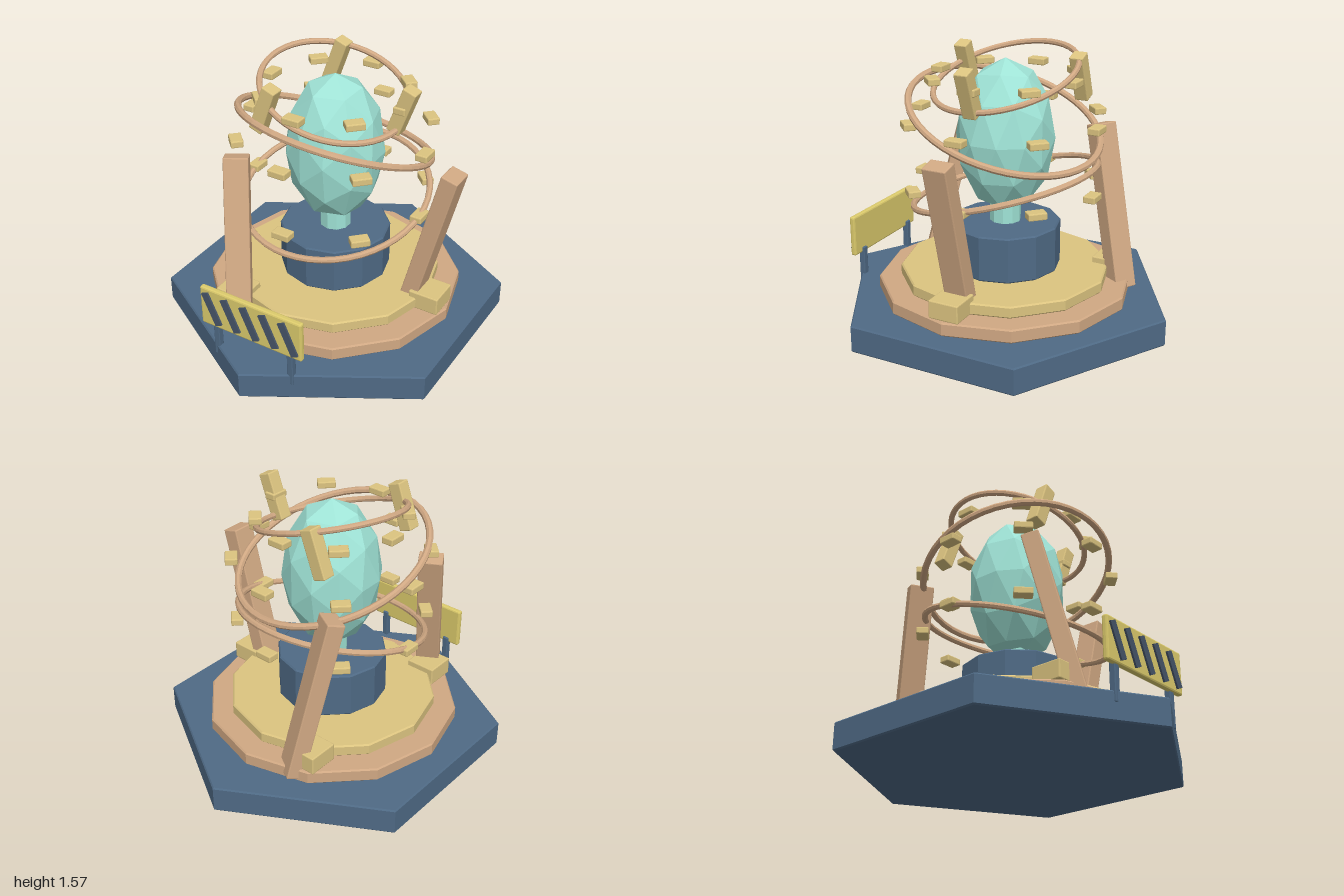
import * as THREE from 'three';
import { RoundedBoxGeometry } from 'three/addons/geometries/RoundedBoxGeometry.js';

const mat = (color) => {
  const m = new THREE.MeshStandardMaterial({ color, flatShading: true });
  return m;
};

export function createModel() {
  const model = new THREE.Group();
  const steel = mat(0x4f6a85), copper = mat(0xd0a883), brass = mat(0xdcc480);
  const crystalMat = mat(0x9fe3d6), signYellow = mat(0xdccb6c), dark = mat(0x465468);

  function add(name, geometry, material, x, y, z, parent = model) {
    const mesh = new THREE.Mesh(geometry, material);
    mesh.name = name;
    mesh.position.set(x, y, z);
    parent.add(mesh);
    return mesh;
  }
  const box = (w, h, d, r = 0.006) => new RoundedBoxGeometry(w, h, d, 1, r);

  // Polygonal disc with a small chamfer
  function disc(name, sides, r, y0, y1, material, c = 0.008) {
    const profile = [[0, y0], [r - c, y0], [r, y0 + c], [r, y1 - c], [r - c, y1], [0, y1]]
      .map(([x, y]) => new THREE.Vector2(x, y));
    add(name, new THREE.LatheGeometry(profile, sides), material, 0, 0, 0);
  }

  // Stepped base
  disc('hexagonBase', 6, 1, 0, 0.16, steel);
  disc('copperStep', 12, 0.74, 0.16, 0.24, copper);
  disc('brassStep', 12, 0.61, 0.24, 0.31, brass);
  disc('pedestal', 12, 0.32, 0.31, 0.58, steel);

  // Faceted crystal on its neck
  add('crystalNeck', new THREE.CylinderGeometry(0.09, 0.09, 0.16, 10), crystalMat, 0, 0.65, 0);
  const crystal = new THREE.IcosahedronGeometry(1, 1);
  crystal.rotateY(0.3);
  crystal.scale(0.285, 0.445, 0.285);
  add('crystal', crystal, crystalMat, 0, 1.085, 0);

  // Tilted coil rings, each with a level circle of eight blocks
  const rings = [
    { name: 'lowerRing', y: 0.8, r: 0.54, tube: 0.018, normal: [0, 1, 0.265] },
    { name: 'middleRing', y: 1.19, r: 0.555, tube: 0.02, normal: [0.12, 1, -0.36] },
    { name: 'upperRing', y: 1.43, r: 0.415, tube: 0.017, normal: [0.3, 1, 0.12] },
  ];
  const forward = new THREE.Vector3(0, 0, 1);
  for (const { name, y, r, tube, normal } of rings) {
    const ring = add(name, new THREE.TorusGeometry(r, tube, 8, 48), copper, 0, y, 0);
    ring.quaternion.setFromUnitVectors(forward, new THREE.Vector3(...normal).normalize());
    for (let i = 0; i < 8; i++) {
      const a = i * Math.PI / 4;
      const block = add(name + 'Block', box(0.07, 0.04, 0.105), brass, r * Math.cos(a), y, r * Math.sin(a));
      block.rotation.y = -a;
    }
  }

  // Three leaning pillars with feet, and three slanted plates above
  for (let i = 0; i < 3; i++) {
    const a = i * Math.PI * 2 / 3, c = Math.cos(a), s = Math.sin(a);
    const pillar = add('pillar', box(0.1, 0.97, 0.14), copper, 0.615 * c, 0.65, 0.615 * s);
    pillar.rotation.set(0, a, -0.25);
    add('pillarFoot', box(0.18, 0.105, 0.18), brass, 0.63 * c, 0.293, 0.63 * s);
    const plate = add('slantedPlate', box(0.08, 0.275, 0.08), brass, 0.42 * c, 1.42, 0.42 * s);
    plate.rotation.z = -0.35;
  }

  // Striped warning board on two posts
  const sign = new THREE.Group();
  sign.name = 'warningBoard';
  model.add(sign);
  add('board', box(0.65, 0.245, 0.035, 0.01), signYellow, 0, 0.42, 0.856, sign);
  for (const x of [-0.24, 0.24]) {
    add('boardPost', box(0.036, 0.23, 0.036, 0.004), steel, x, 0.215, 0.843, sign);
  }
  for (let i = -2; i <= 2; i++) {
    const stripe = add('boardStripe', new THREE.BoxGeometry(0.045, 0.205, 0.015), dark, i * 0.123, 0.42, 0.877, sign);
    stripe.rotation.z = 0.42;
  }
  return model;
}
